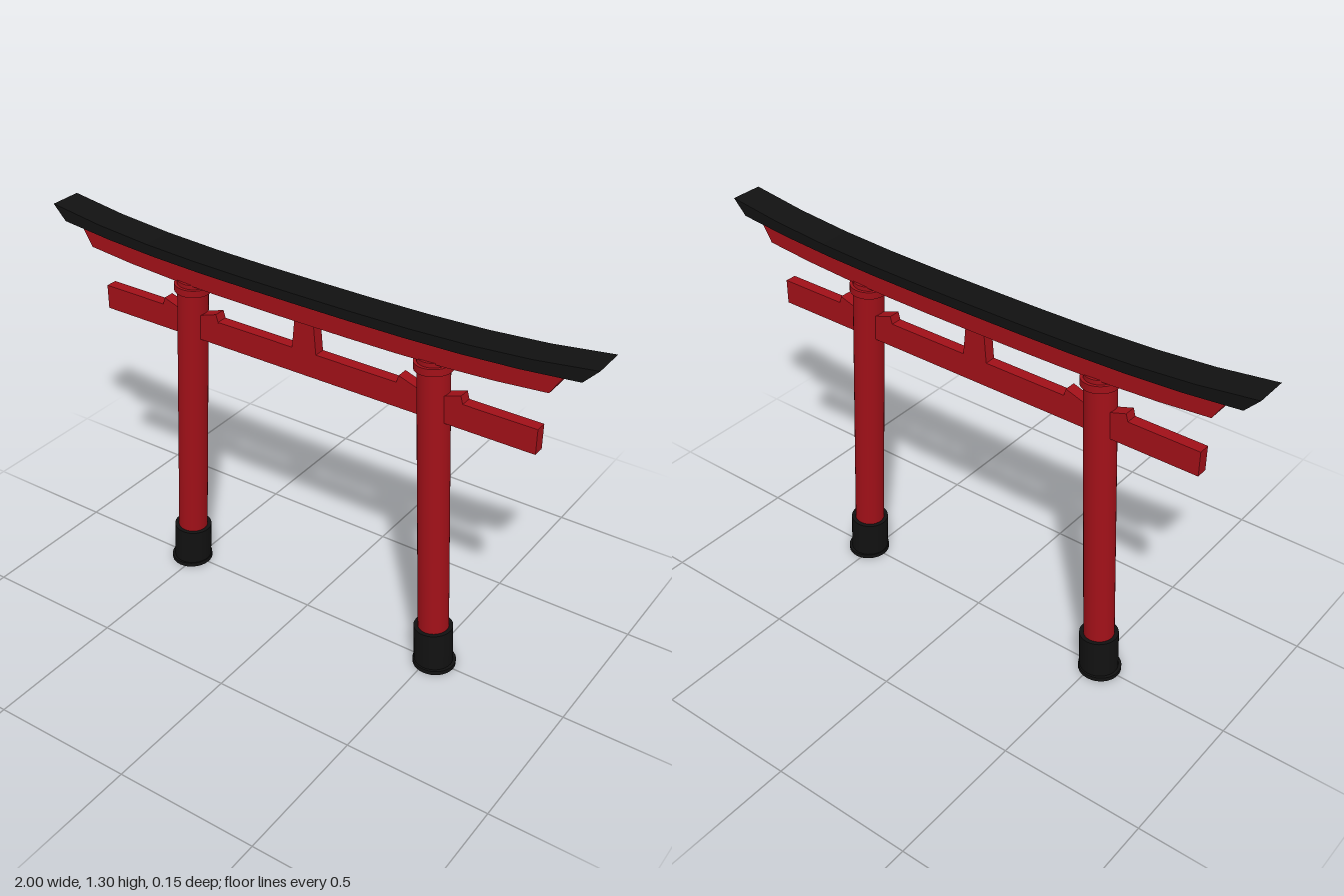
import * as THREE from 'three';

const red = new THREE.MeshStandardMaterial({ color: 0xa01018 });
const black = new THREE.MeshStandardMaterial({ color: 0x111111 });

function add(parent, name, geometry, material, x = 0, y = 0, z = 0) {
  const mesh = new THREE.Mesh(geometry, material);
  mesh.name = name;
  mesh.position.set(x, y, z);
  parent.add(mesh);
  return mesh;
}

// Outline in the xy plane, extruded symmetrically about z = 0
function slab(points, depth) {
  const shape = new THREE.Shape(points.map(([x, y]) => new THREE.Vector2(x, y)));
  const geometry = new THREE.ExtrudeGeometry(shape, { depth, bevelEnabled: false });
  return geometry.translate(0, 0, -depth / 2);
}

// Edge of an upswept beam, from -half to half
function sweep(half, y, rise, steps = 10) {
  return Array.from({ length: steps + 1 }, (_, i) => {
    const t = (2 * i) / steps - 1;
    return [t * half, y + rise * Math.abs(t) ** 3];
  });
}

// Upswept beam with slanted ends
function curvedBeam(bottom, top, depth) {
  return slab([...sweep(...bottom), ...sweep(...top).reverse()], depth);
}

// Round part standing between two heights
function drum(parent, name, radius, y0, y1, material) {
  const geometry = new THREE.CylinderGeometry(radius, radius, y1 - y0, 32);
  return add(parent, name, geometry, material, 0, (y0 + y1) / 2);
}

export function createModel() {
  const gate = new THREE.Group();
  gate.name = 'gate';

  // Roof beam and the red lintel under it
  add(gate, 'roofBeam', curvedBeam([0.952, 1.212, 0.039], [1, 1.246, 0.056], 0.114), black);
  add(gate, 'upperLintel', curvedBeam([0.852, 1.144, 0.033], [0.893, 1.213, 0.031], 0.084), red);

  // Straight tie beam and the centre strut
  add(gate, 'tieBeam', new THREE.BoxGeometry(1.64, 0.086, 0.04), red, 0, 0.991);
  add(gate, 'centreStrut',
    slab([[-0.046, 1.03], [0.046, 1.03], [0.035, 1.15], [-0.035, 1.15]], 0.04), red);

  for (const side of [1, -1]) {
    // Leaning pillar with collar and base sleeve
    const pillar = new THREE.Group();
    pillar.name = side > 0 ? 'leftPillar' : 'rightPillar';
    pillar.position.x = side * 0.517;
    pillar.rotation.z = side * 0.0535;
    drum(pillar, 'shaft', 0.052, 0.1, 1.155, red);
    drum(pillar, 'collar', 0.062, 1.115, 1.14, red);
    drum(pillar, 'baseSleeve', 0.066, 0.006, 0.152, black);
    gate.add(pillar);

    // Level foot plate
    drum(gate, 'footPlate', 0.073, 0, 0.015, black).position.x = side * 0.52;

    // Wedges on the tie beam, either side of the pillar
    for (const dir of [1, -1]) {
      const points = [[0.03, 1.025], [0.118, 1.025], [0.108, 1.06], [0.03, 1.034]]
        .map(([x, y]) => [side * 0.457 + dir * x, y]);
      add(gate, 'wedge', slab(points, 0.0404), red);
    }
  }
  return gate;
}
